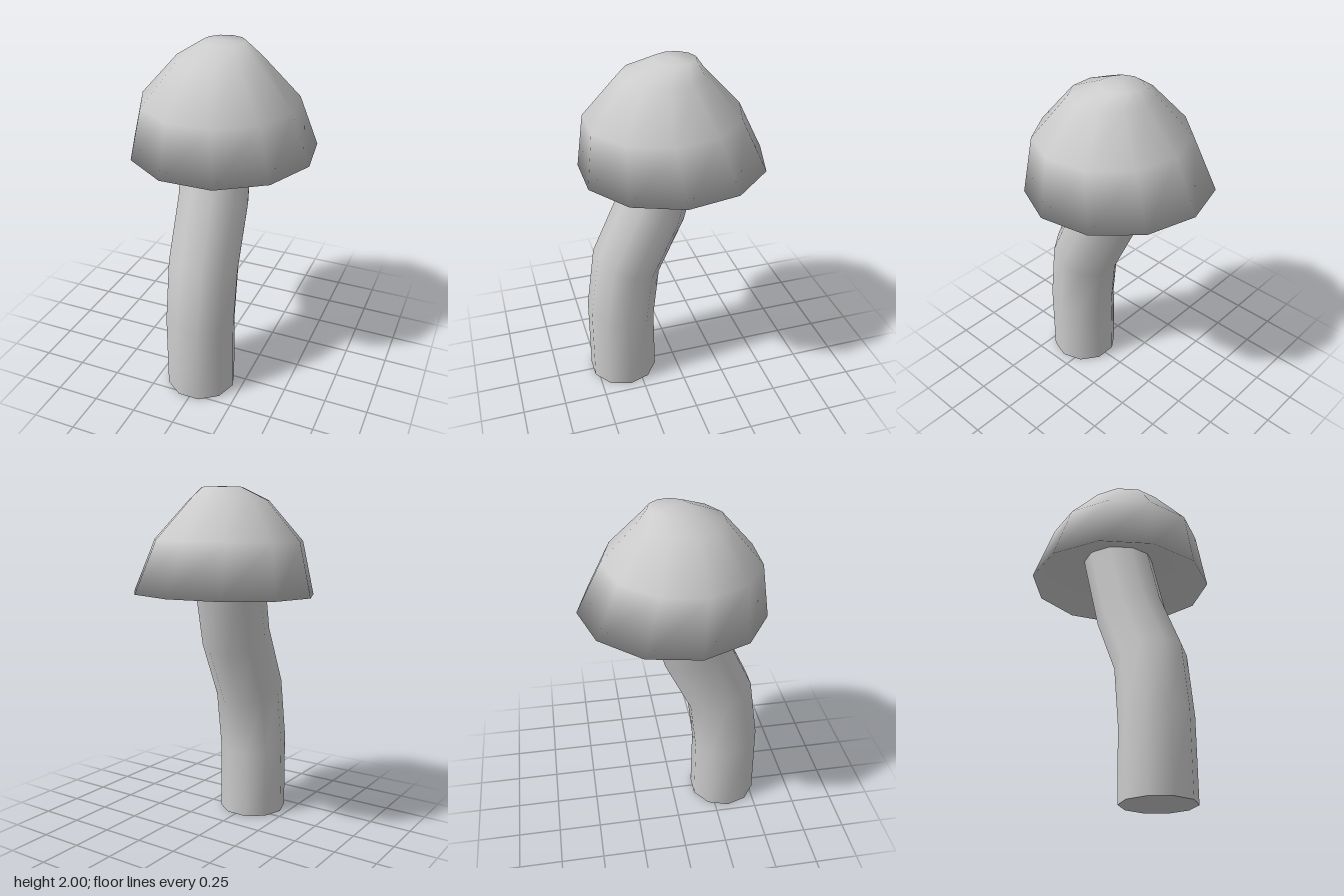
import * as THREE from 'three';

// Smooth skin over tilted rings listed bottom to top: [x, y, z, radius, tilt about x]
// With apexes given, both ends are closed by a fan to the bottom and top points.
function loft(rings, sides, phase, apexes = []) {
  const pos = [], index = [];
  for (const [x, y, z, r, tilt] of rings) {
    for (let i = 0; i < sides; i++) {
      const a = phase + (i / sides) * Math.PI * 2;
      const d = r * Math.sin(a);
      pos.push(x + r * Math.cos(a), y + d * Math.sin(tilt), z + d * Math.cos(tilt));
    }
  }
  const last = (rings.length - 1) * sides;
  for (let row = 0; row < last; row += sides) {
    for (let i = 0; i < sides; i++) {
      const a = row + i, b = row + ((i + 1) % sides);
      index.push(a, a + sides, b, b, a + sides, b + sides);
    }
  }
  if (apexes.length) {
    const bottom = pos.length / 3, top = bottom + 1;
    pos.push(...apexes.flat());
    for (let i = 0; i < sides; i++) {
      const j = (i + 1) % sides;
      index.push(bottom, i, j, top, last + j, last + i);
    }
  }
  const geo = new THREE.BufferGeometry();
  geo.setAttribute('position', new THREE.Float32BufferAttribute(pos, 3));
  geo.setIndex(index);
  geo.computeVertexNormals();
  return geo;
}

export function createModel() {
  const group = new THREE.Group();
  group.name = 'mushroom';
  const material = new THREE.MeshStandardMaterial({ color: 0xcccccc });

  // Bent stem, its top end hidden inside the cap
  const stem = new THREE.Mesh(loft([
    [-0.005, 0, 0.33, 0.204, 0],
    [-0.005, 0.44, 0.33, 0.204, 0.2],
    [0, 0.79, 0.285, 0.204, 0.36],
    [-0.005, 1.13, 0.125, 0.204, 0.43],
    [-0.028, 1.65, -0.01, 0.204, 0.26],
  ], 10, 0), material);
  stem.name = 'stem';

  // Flat end of the stem on the ground
  const stemBase = new THREE.Mesh(new THREE.CircleGeometry(0.204, 10).rotateX(Math.PI / 2), material);
  stemBase.name = 'stemBase';
  stemBase.position.set(-0.005, 0, 0.33);

  // Dome with a hollowed underside; normals run smoothly round the rim
  const cap = new THREE.Mesh(loft([
    [0, 1.4, 0, 0.529, -0.034],
    [0, 1.7, 0.052, 0.436, -0.025],
    [0, 1.925, 0.055, 0.232, -0.02],
    [0, 1.995, -0.013, 0.117, 0],
  ], 11, -Math.PI / 2, [[0, 1.65, 0], [0, 2, -0.013]]), material);
  cap.name = 'cap';

  group.add(stem, stemBase, cap);
  return group;
}
